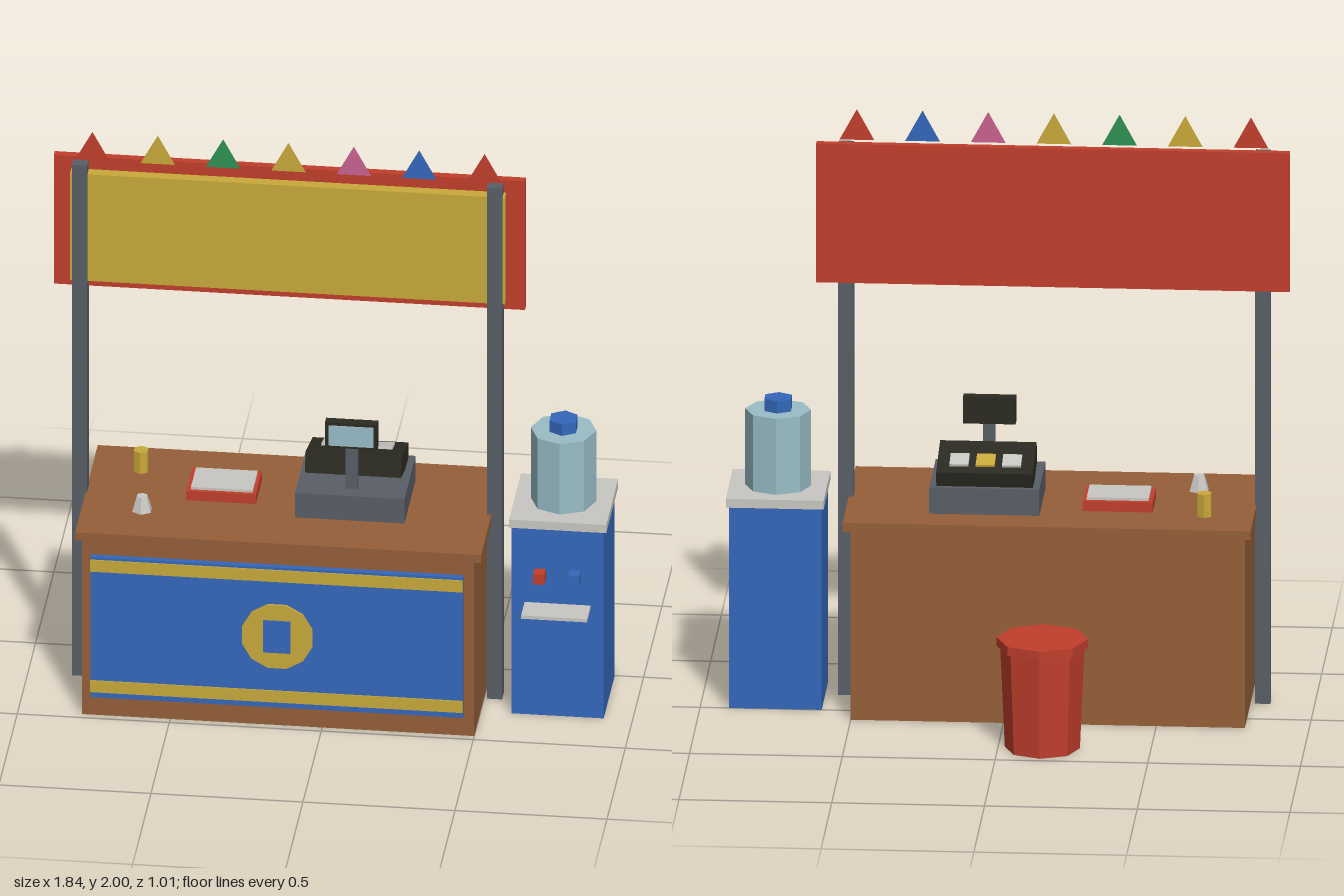
import * as THREE from 'three';

const mat = (name, color, extra = {}) => {
  const m = new THREE.MeshStandardMaterial({ color, flatShading: true, ...extra });
  m.name = name;
  return m;
};

export function createModel() {
  const root = new THREE.Group();
  root.name = 'ticketCounter';

  const wood = mat('wood', 0x955f39);
  const red = mat('red', 0xc13f2c, { side: THREE.DoubleSide });
  const yellow = mat('yellow', 0xc9a93a, { side: THREE.DoubleSide });
  const blue = mat('blue', 0x3468bb, { side: THREE.DoubleSide });
  const green = mat('green', 0x2e9154, { side: THREE.DoubleSide });
  const pink = mat('pink', 0xc9628f, { side: THREE.DoubleSide });
  const glass = mat('paleBlue', 0x99bdc7);
  const steel = mat('darkGrey', 0x595e66);
  const pale = mat('lightGrey', 0xc9c7c2);
  const black = mat('black', 0x2b2a22);

  const group = (name) => {
    const g = new THREE.Group();
    g.name = name;
    root.add(g);
    return g;
  };
  const add = (parent, name, geo, m, x = 0, y = 0, z = 0) => {
    const mesh = new THREE.Mesh(geo, m);
    mesh.name = name;
    mesh.position.set(x, y, z);
    parent.add(mesh);
    return mesh;
  };
  // Box given by its limits on each axis
  const box = (parent, name, m, x0, x1, y0, y1, z0, z1) =>
    add(parent, name, new THREE.BoxGeometry(x1 - x0, y1 - y0, z1 - z0), m,
      (x0 + x1) / 2, (y0 + y1) / 2, (z0 + z1) / 2);
  // Upright faceted drum standing at height y0
  const drum = (parent, name, m, rTop, rBottom, y0, y1, sides, x, z) =>
    add(parent, name, new THREE.CylinderGeometry(rTop, rBottom, y1 - y0, sides), m, x, (y0 + y1) / 2, z);

  // Counter: hollow carcass, open underneath, with a framed front
  const counter = group('counter');
  const T = 0.01;
  box(counter, 'counterTop', wood, -0.81, 0.525, 0.65, 0.68, -0.12, 0.495);
  box(counter, 'counterBack', wood, -0.79, 0.5, 0, 0.65, -0.1, -0.1 + T);
  box(counter, 'counterRightSide', wood, -0.79, -0.79 + T, 0, 0.65, -0.1 + T, 0.475 - T);
  box(counter, 'counterLeftSide', wood, 0.5 - T, 0.5, 0, 0.65, -0.1 + T, 0.475 - T);
  const rect = (C, x0, x1, y0, y1) => {
    const s = new C();
    s.moveTo(x0, y0).lineTo(x1, y0).lineTo(x1, y1).lineTo(x0, y1).closePath();
    return s;
  };
  const frame = rect(THREE.Shape, -0.79, 0.5, 0, 0.65);
  frame.holes.push(rect(THREE.Path, -0.76, 0.465, 0.075, 0.592));
  add(counter, 'frontFrame', new THREE.ExtrudeGeometry(frame, { depth: T, bevelEnabled: false }), wood, 0, 0, 0.475 - T);
  box(counter, 'frontPanel', blue, -0.76, 0.465, 0.075, 0.592, 0.463, 0.495);
  for (const [name, y] of [['lowerStripe', 0.095], ['upperStripe', 0.54]])
    box(counter, name, yellow, -0.76, 0.465, y, y + 0.043, 0.495, 0.499);
  const medallion = add(counter, 'medallion',
    new THREE.CylinderGeometry(0.12, 0.12, 0.009, 12, 1, false, Math.PI / 12), yellow, -0.145, 0.34, 0.4995);
  medallion.rotation.x = Math.PI / 2;
  box(counter, 'medallionCentre', blue, -0.19, -0.1, 0.282, 0.4, 0.504, 0.507);

  // Sign on two posts
  const sign = group('sign');
  for (const [name, x] of [['rightPost', -0.83], ['leftPost', 0.535]])
    box(sign, name, steel, x - 0.025, x + 0.025, 0, 1.885, 0.165, 0.21);
  box(sign, 'signBoard', red, -0.92, 0.63, 1.42, 1.895, 0.14, 0.167);
  box(sign, 'signFace', yellow, -0.862, 0.568, 1.457, 1.85, 0.167, 0.205);

  // Row of flat pennants
  const flag = new THREE.Shape();
  flag.moveTo(-0.057, 0).lineTo(0.057, 0).lineTo(0, 0.105).closePath();
  const flagGeo = new THREE.ShapeGeometry(flag);
  [red, yellow, green, yellow, pink, blue, red].forEach((m, i) =>
    add(sign, 'pennant', flagGeo, m, -0.79 + i * 0.215, 1.895, 0.19));

  // Cash register with sloped keyboard facing the back
  const register = group('cashRegister');
  box(register, 'registerBase', steel, -0.11, 0.25, 0.68, 0.77, 0, 0.305);
  const keyboard = new THREE.Group();
  keyboard.name = 'keyboard';
  keyboard.position.set(0.07, 0.81, 0.11);
  keyboard.rotation.x = -0.25;
  register.add(keyboard);
  box(keyboard, 'keyboardBody', black, -0.158, 0.158, -0.036, 0.036, -0.1, 0.1);
  [pale, yellow, pale].forEach((m, i) => {
    const x = (i - 1) * 0.086;
    box(keyboard, 'key', m, x - 0.031, x + 0.031, 0.036, 0.044, -0.06, 0.01);
  });
  box(register, 'displayPole', steel, 0.05, 0.09, 0.77, 0.925, 0.225, 0.255);
  box(register, 'displayCase', black, -0.017, 0.155, 0.92, 1.012, 0.225, 0.258);
  box(register, 'displayScreen', glass, -0.005, 0.143, 0.929, 1.002, 0.258, 0.262);

  // Things lying on the counter
  const items = group('counterItems');
  box(items, 'tray', red, -0.477, -0.248, 0.68, 0.714, 0.062, 0.228);
  box(items, 'trayPaper', pale, -0.463, -0.26, 0.714, 0.723, 0.077, 0.215);
  drum(items, 'yellowCup', yellow, 0.026, 0.026, 0.68, 0.758, 6, -0.648, 0.04);
  drum(items, 'paperCup', pale, 0.019, 0.035, 0.68, 0.733, 6, -0.612, 0.313);

  // Water cooler
  const cooler = group('waterCooler');
  box(cooler, 'coolerBody', blue, 0.602, 0.905, 0, 0.69, 0, 0.302);
  box(cooler, 'coolerTop', pale, 0.595, 0.915, 0.69, 0.72, -0.013, 0.312);
  drum(cooler, 'bottle', glass, 0.108, 0.108, 0.72, 0.98, 8, 0.755, 0.15);
  drum(cooler, 'bottleCap', blue, 0.05, 0.05, 0.98, 1.022, 6, 0.755, 0.15);
  box(cooler, 'hotTap', red, 0.678, 0.715, 0.502, 0.54, 0.302, 0.342);
  box(cooler, 'coldTap', blue, 0.793, 0.83, 0.502, 0.54, 0.302, 0.342);
  box(cooler, 'dripTray', pale, 0.645, 0.862, 0.402, 0.414, 0.302, 0.398);

  // Bin behind the counter
  const bin = group('bin');
  drum(bin, 'binBody', red, 0.138, 0.123, 0, 0.345, 8, -0.145, -0.356);
  drum(bin, 'binRim', red, 0.15, 0.15, 0.345, 0.375, 8, -0.145, -0.356);

  return root;
}
